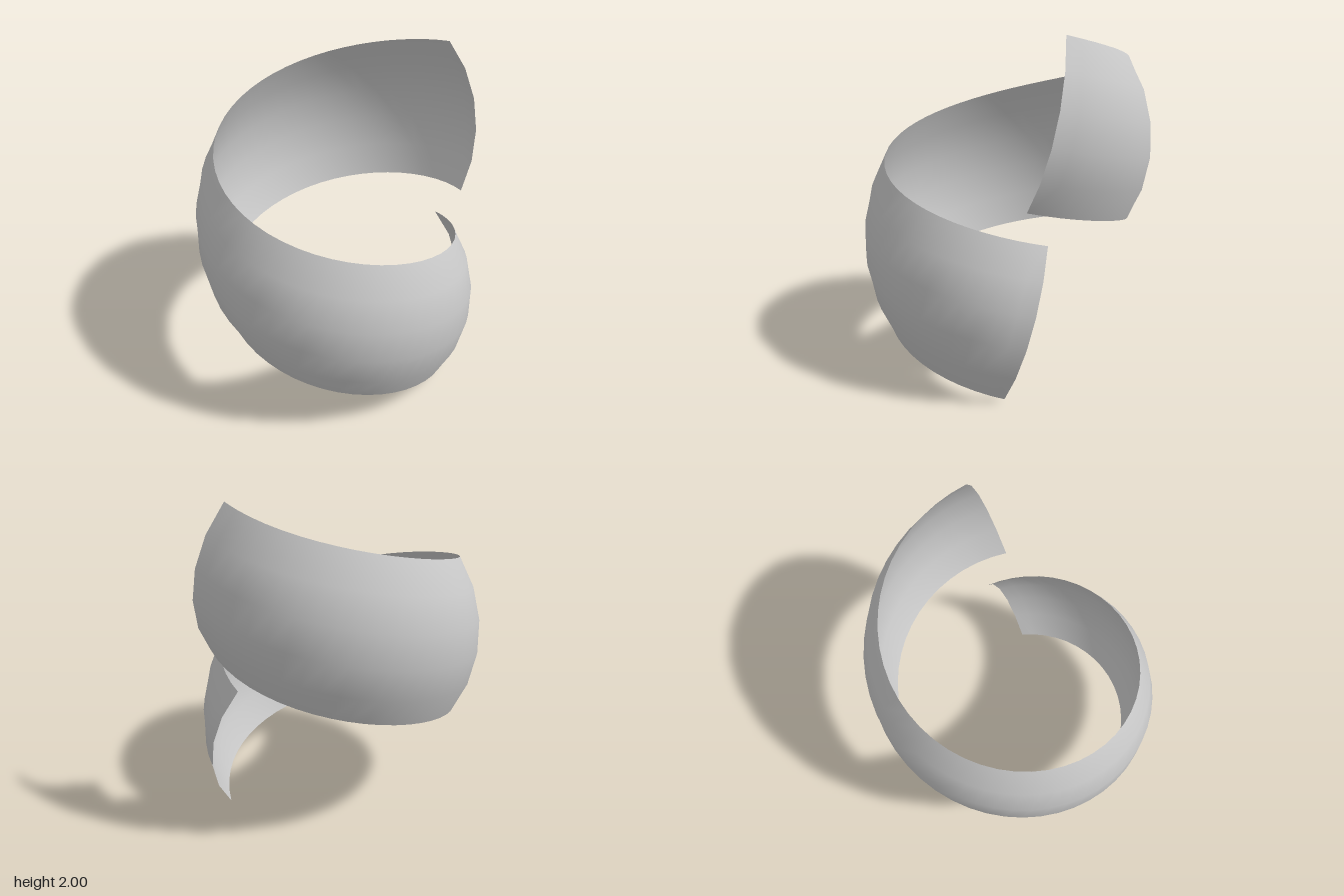
import * as THREE from 'three';

// One turn of a bulging ribbon: a shallow arc swept along a slowly widening helix.
export function createModel() {
  const group = new THREE.Group();
  group.name = 'helicalBand';
  const grey = new THREE.MeshStandardMaterial({ color: 0xcccccc, side: THREE.DoubleSide });
  grey.name = 'light grey';

  const rad = THREE.MathUtils.degToRad;
  const lerp = THREE.MathUtils.lerp;
  const arcRadius = 0.82, halfArc = rad(34);

  const geometry = new THREE.PlaneGeometry(1, 1, 50, 5);
  const pos = geometry.attributes.position;
  for (let i = 0; i < pos.count; i++) {
    const u = 0.5 - pos.getX(i);            // along the helix, bottom to top
    const s = pos.getY(i) * 2 * halfArc;    // across the ribbon
    const theta = rad(lerp(3.8, 357.45, u));
    const slope = rad(lerp(15, 13.3, u));   // section stays square to the path
    const lean = 0.036 * u;                 // section leans inward towards the upper end

    // Point of the arc in its section plane
    const across = arcRadius * Math.sin(s);
    const radial = lerp(0.81, 0.885, u) - arcRadius * (1 - Math.cos(s)) - lean * across;
    const along = -across * Math.sin(slope);

    pos.setXYZ(
      i,
      -0.019 + radial * Math.cos(theta) - along * Math.sin(theta),
      lerp(0.445, 1.555, u) + across * Math.cos(slope),
      0.016 + radial * Math.sin(theta) + along * Math.cos(theta)
    );
  }
  geometry.computeVertexNormals();

  const band = new THREE.Mesh(geometry, grey);
  band.name = 'band';
  group.add(band);
  return group;
}
